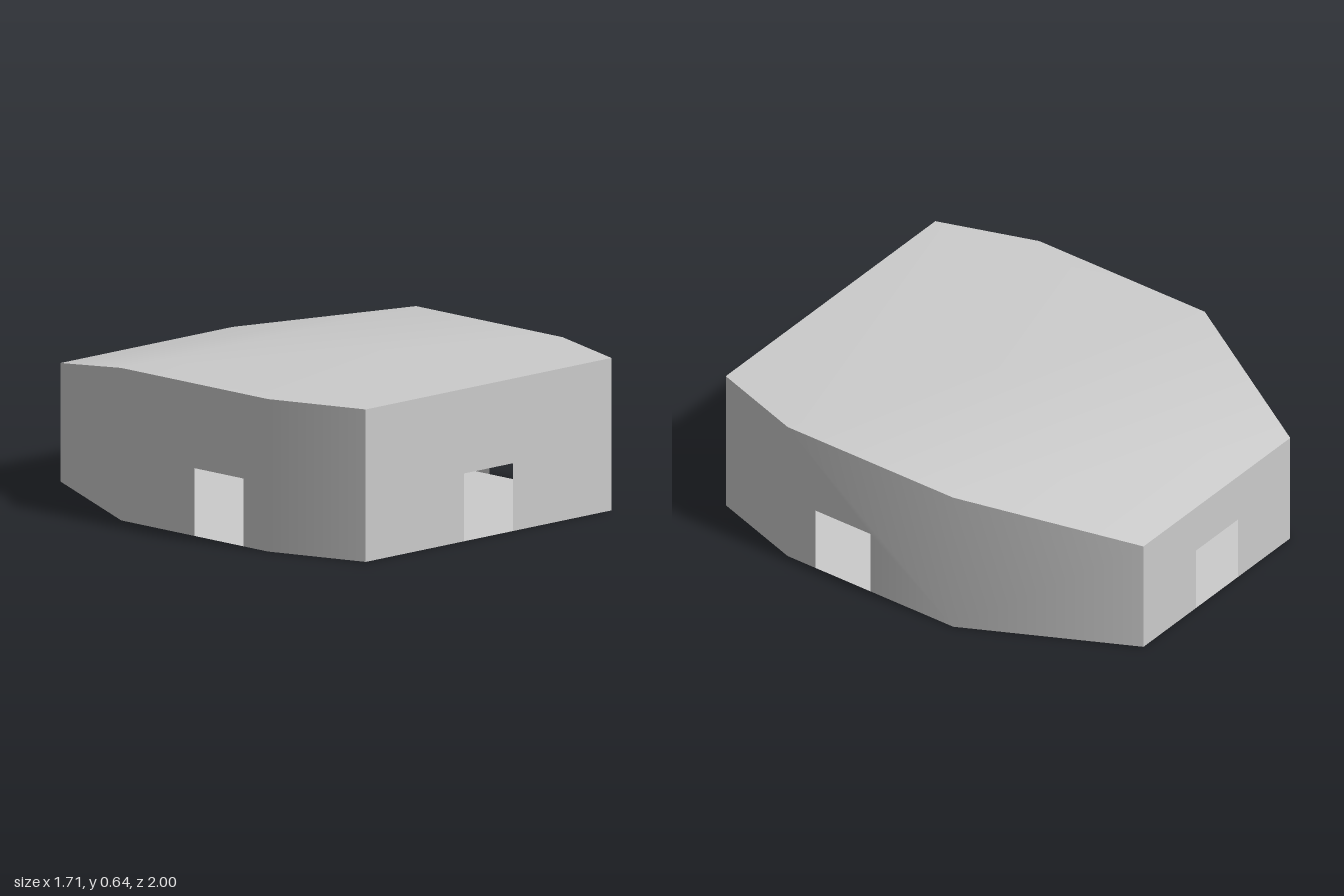
import * as THREE from 'three';
import { mergeGeometries, toCreasedNormals } from 'three/addons/utils/BufferGeometryUtils.js';

const BEND = -0.286; // z where the roof starts to slope down
const CREASE = 0.6;
const roofHeight = z => 0.643 - Math.max(0, BEND - z) * 0.2;

// footprint corners [x, z], anticlockwise seen from above, with the door span
// along the wall that starts at each corner
const footprint = [
  { p: [-0.714, 1], door: [0.571, 0.857] },
  { p: [0.714, 1] },
  { p: [0.857, 0.571], door: [0.143, 0.429] },
  { p: [0.857, BEND] },
  { p: [0.5, -1], door: [0.357, 0.643] },
  { p: [-0.5, -1] },
  { p: [-0.857, BEND], door: [0.428, 0.714] },
  { p: [-0.857, 0.571] },
];
const DOOR_HEIGHT = 0.286;

const polygon = pts => new THREE.Shape(pts.map(([x, y]) => new THREE.Vector2(x, y)));

// upright wall panel from a to b, facing outwards, with an optional doorway
function wallPanel(a, b, door) {
  const dx = b[0] - a[0], dz = b[1] - a[1], len = Math.hypot(dx, dz);
  const pts = [[0, 0]];
  if (door) {
    pts.push([door[0], 0], [door[0], DOOR_HEIGHT], [door[1], DOOR_HEIGHT], [door[1], 0]);
  }
  pts.push([len, 0], [len, roofHeight(b[1])], [0, roofHeight(a[1])]);
  return new THREE.ShapeGeometry(polygon(pts))
    .rotateY(Math.atan2(-dz, dx))
    .translate(a[0], 0, a[1]);
}

// upward facing roof piece, lowered behind the bend
function roofPiece(pts) {
  const geo = new THREE.ShapeGeometry(polygon(pts.map(([x, z]) => [x, -z]))).rotateX(-Math.PI / 2);
  const pos = geo.attributes.position;
  for (let i = 0; i < pos.count; i++) pos.setY(i, roofHeight(pos.getZ(i)));
  geo.computeVertexNormals();
  return geo;
}

export function createModel() {
  const group = new THREE.Group();
  group.name = 'building';
  const material = new THREE.MeshStandardMaterial({ color: 0xcccccc, side: THREE.DoubleSide });
  const add = (name, geometry) => {
    const mesh = new THREE.Mesh(geometry, material);
    mesh.name = name;
    group.add(mesh);
  };
  const corners = footprint.map(c => c.p);

  // thin outer walls with four doorways
  const panels = footprint.map((c, i) =>
    wallPanel(c.p, corners[(i + 1) % corners.length], c.door));
  add('walls', toCreasedNormals(mergeGeometries(panels), CREASE));

  // flat front roof and sloping rear roof
  const front = roofPiece(corners.filter(p => p[1] >= BEND));
  const rear = roofPiece(corners.filter(p => p[1] <= BEND));
  add('roof', toCreasedNormals(mergeGeometries([front, rear]), CREASE));

  // floor
  add('floor', new THREE.ShapeGeometry(polygon(corners)).rotateX(Math.PI / 2));

  return group;
}
